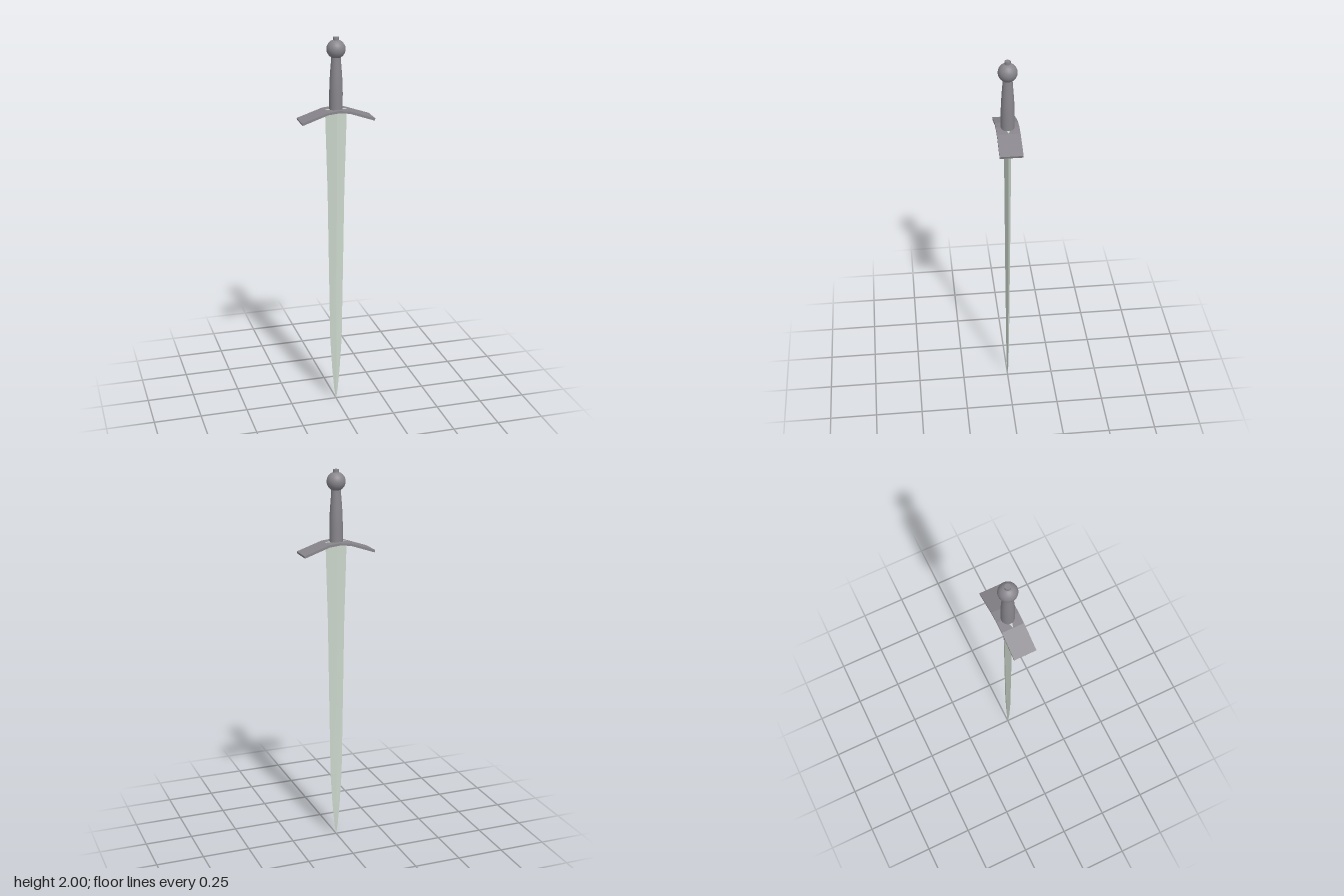
import * as THREE from 'three';

const steel = new THREE.MeshStandardMaterial({ color: 0xccd8cc, flatShading: true });
const iron = new THREE.MeshStandardMaterial({ color: 0x88868c });
const ironFlat = new THREE.MeshStandardMaterial({ color: 0x88868c, flatShading: true });

function add(group, name, geometry, material) {
  const mesh = new THREE.Mesh(geometry, material);
  mesh.name = name;
  group.add(mesh);
  return mesh;
}

// Diamond cross-sections [y, half width, half thickness], from tip to guard
function bladeGeometry() {
  const sections = [
    [0, 0.001, 0.0005], [0.06, 0.01, 0.004], [0.18, 0.021, 0.007], [0.36, 0.032, 0.009],
    [0.8, 0.039, 0.013], [1.2, 0.045, 0.016], [1.62, 0.057, 0.019], [1.636, 0.057, 0.019],
  ];
  const positions = [];
  const index = [];
  for (const [y, w, t] of sections) {
    positions.push(w, y, 0, 0, y, t, -w, y, 0, 0, y, -t);
  }
  for (let s = 0; s < sections.length - 1; s++) {
    for (let i = 0; i < 4; i++) {
      const a = s * 4 + i, b = s * 4 + (i + 1) % 4;
      index.push(a, a + 4, b, b, a + 4, b + 4);
    }
  }
  // End caps
  const top = (sections.length - 1) * 4;
  index.push(0, 1, 2, 0, 2, 3, top, top + 2, top + 1, top, top + 3, top + 2);
  const geometry = new THREE.BufferGeometry();
  geometry.setAttribute('position', new THREE.Float32BufferAttribute(positions, 3));
  geometry.setIndex(index);
  const flat = geometry.toNonIndexed();
  flat.computeVertexNormals();
  return flat;
}

// Bent plate: a chevron-like strip extruded front to back
function guardGeometry() {
  const half = [[0, 1.638], [0.057, 1.632], [0.191, 1.587]];
  const line = [...half.slice(1).reverse().map(([x, y]) => [-x, y]), ...half];
  const thickness = 0.012;
  const outline = [
    ...line.map(([x, y]) => new THREE.Vector2(x, y)),
    ...line.slice().reverse().map(([x, y]) => new THREE.Vector2(x * 0.98, y - thickness)),
  ];
  const depth = 0.116;
  return new THREE.ExtrudeGeometry(new THREE.Shape(outline), { depth, bevelEnabled: false })
    .translate(0, 0, -depth / 2);
}

export function createModel() {
  const sword = new THREE.Group();
  sword.name = 'sword';

  add(sword, 'blade', bladeGeometry(), steel);
  add(sword, 'crossguard', guardGeometry(), ironFlat);

  // Grip, tapering towards the pommel
  const grip = [[0.034, 1.635], [0.034, 1.72], [0.033, 1.77], [0.029, 1.83], [0.025, 1.88], [0.024, 1.91]]
    .map(([r, y]) => new THREE.Vector2(r, y));
  add(sword, 'grip', new THREE.LatheGeometry(grip, 24), iron);
  add(sword, 'gripBase', new THREE.CircleGeometry(0.034, 24).rotateX(Math.PI / 2), iron).position.y = 1.635;

  // Round pommel and its button
  add(sword, 'pommel', new THREE.SphereGeometry(0.048, 24, 12), iron).position.y = 1.94;
  add(sword, 'pommelButton', new THREE.CylinderGeometry(0.015, 0.015, 0.03, 20), iron).position.y = 1.985;

  return sword;
}
